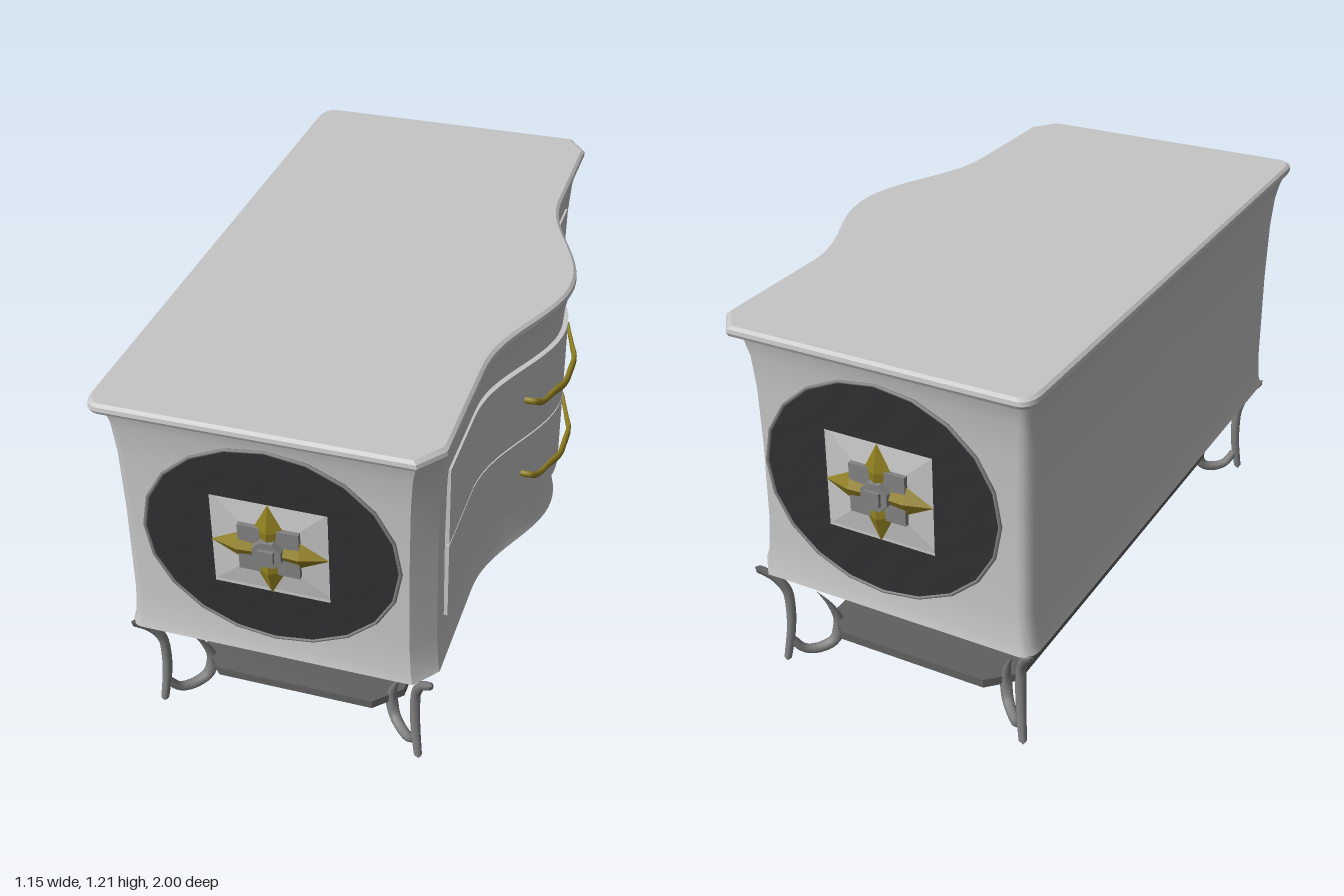
import * as THREE from 'three';
import { toCreasedNormals } from 'three/addons/utils/BufferGeometryUtils.js';

const mat = (name, color) => {
  const m = new THREE.MeshStandardMaterial({ color });
  m.name = name;
  return m;
};

const CX = -0.08; // centre line of the case, ignoring the bowed front

// Bowed drawer side: extra x at a given z
const bow = (z) => {
  const t = Math.min(1, Math.abs(z) / 0.53);
  return 0.145 * Math.pow(0.5 * (1 + Math.cos(Math.PI * t)), 1.1);
};

// Plan outline of the top, as [x, z] pairs
function outline() {
  const p = [[0.355, -1], [0.415, -0.92], [0.415, -0.72]];
  for (let i = 0; i <= 32; i++) {
    const z = -0.53 + (1.06 * i) / 32;
    p.push([0.415 + bow(z), z]);
  }
  p.push([0.415, 0.72], [0.415, 0.92], [0.355, 1]);
  for (const s of [1, -1]) {
    for (let i = 0; i <= 4; i++) {
      const a = ((s > 0 ? i : 4 - i) / 4) * Math.PI / 2;
      p.push([-0.535 - 0.04 * Math.sin(a), s * (0.94 + 0.06 * Math.cos(a))]);
    }
  }
  return p;
}

// Stack the outline at several heights; rings are [y, x inset, z inset]
function loft(rings) {
  const plan = outline(), n = plan.length, pos = [], idx = [];
  for (const [y, dx, dz] of rings) {
    for (const [x, z] of plan) pos.push(x - Math.sign(x - CX) * dx, y, z * (1 - dz));
  }
  for (let r = 0; r < rings.length - 1; r++) {
    for (let i = 0; i < n; i++) {
      const a = r * n + i, b = r * n + ((i + 1) % n);
      idx.push(a, a + n, b + n, a, b + n, b);
    }
  }
  const low = pos.length / 3, high = low + 1, last = (rings.length - 1) * n;
  pos.push(CX, rings[0][0], 0, CX, rings[rings.length - 1][0], 0);
  for (let i = 0; i < n; i++) {
    const j = (i + 1) % n;
    idx.push(low, i, j, high, last + j, last + i);
  }
  const g = new THREE.BufferGeometry();
  g.setAttribute('position', new THREE.Float32BufferAttribute(pos, 3));
  g.setIndex(idx);
  return toCreasedNormals(g, 0.5);
}

// Tube with a changing radius, optionally stretched in y
function taperTube(points, radiusAt, segments = 28, sides = 8, stretchY = 1) {
  const curve = new THREE.CatmullRomCurve3(points.map((p) => new THREE.Vector3(...p)));
  const g = new THREE.TubeGeometry(curve, segments, 1, sides);
  const pos = g.attributes.position, v = new THREE.Vector3();
  for (let i = 0; i <= segments; i++) {
    const c = curve.getPointAt(i / segments);
    const r = i === 0 || i === segments ? 0.0005 : radiusAt(i / segments);
    for (let j = 0; j <= sides; j++) {
      const k = i * (sides + 1) + j;
      v.fromBufferAttribute(pos, k).sub(c).multiplyScalar(r);
      v.y *= stretchY;
      v.add(c);
      pos.setXYZ(k, v.x, v.y, v.z);
    }
  }
  return g;
}

// Flat plan shape raised to a height
function slab(points, y, height) {
  const shape = new THREE.Shape(points.map(([x, z]) => new THREE.Vector2(x, -z)));
  const g = new THREE.ExtrudeGeometry(shape, { depth: height, bevelEnabled: false });
  g.rotateX(-Math.PI / 2).translate(0, y, 0);
  return toCreasedNormals(g, 0.5);
}

export function createModel() {
  const paint = mat('pale paint', 0xc6c6c6);
  const metal = mat('leg grey', 0x828282);
  const shelfGrey = mat('shelf grey', 0x606060);
  const dark = mat('dark panel', 0x303032);
  const gold = mat('old gold', 0x8f7e20);
  const model = new THREE.Group();
  const add = (parent, name, geometry, material) => {
    const m = new THREE.Mesh(geometry, material);
    m.name = name;
    parent.add(m);
    return m;
  };

  // Case with flared top and bottom, and the rounded top board
  const profile = [[0.37, 0.022], [0.4, 0.029], [0.5, 0.035], [0.8, 0.037], [1.0, 0.034],
    [1.1, 0.027], [1.15, 0.017], [1.18, 0.007]];
  add(model, 'case', loft(profile.map(([y, d]) => [y, d, d + 0.035])), paint);
  add(model, 'topBoard', loft([[1.172, 0.014, 0.02], [1.18, 0.004, 0.005], [1.19, 0, 0],
    [1.202, 0.002, 0.002], [1.21, 0.011, 0.011]]), paint);

  // Two bowed drawers with gold pulls
  const face = [];
  for (let i = 0; i <= 40; i++) {
    const z = -0.785 + (1.57 * i) / 40;
    face.push([0.391 + bow(z) * 1.06, z]);
  }
  const drawerPlan = [...face, ...face.map(([x, z]) => [x - 0.04, z]).reverse()];
  for (const [name, y] of [['lower', 0.515], ['upper', 0.781]]) {
    add(model, name + 'Drawer', slab(drawerPlan, y, 0.26), paint);
    const h = y + (name === 'upper' ? 0.117 : 0.108);
    const half = [[0.465, h + 0.024, 0.235], [0.505, h + 0.024, 0.235], [0.522, h + 0.008, 0.205],
      [0.547, h + 0.004, 0.13], [0.565, h, 0.075]];
    const path = [...half, [0.567, h - 0.002, 0],
      ...half.map(([x, yy, z]) => [x, yy, -z]).reverse()];
    add(model, name + 'Handle',
      taperTube(path, (t) => 0.006 + 0.003 * Math.sin(Math.PI * t) ** 4, 48, 8, 2), gold);
  }

  // Oval ornament for one end, facing +z
  const ornament = new THREE.Group();
  const ring = new THREE.RingGeometry(0.5, 1, 96, 10);
  const rp = ring.attributes.position;
  for (let i = 0; i < rp.count; i++) {
    const x = rp.getX(i), y = rp.getY(i), r = Math.hypot(x, y), t = (r - 0.5) * 2;
    const c = x / r, s = y / r, k = 1 / Math.max(Math.abs(c), Math.abs(s));
    const px = THREE.MathUtils.lerp(0.172 * c * k, 0.373 * c, t);
    const py = THREE.MathUtils.lerp(0.155 * s * k, 0.326 * s, t);
    const ripple = Math.sin(px * 75 + 2 * Math.sin(py * 23)) * Math.sin(py * 40 + px * 31);
    rp.setXYZ(i, px, py, 0.943 + 0.0022 * ripple * Math.sin(Math.PI * t));
  }
  ring.computeVertexNormals();
  add(ornament, 'darkOval', ring, dark);
  const rim = new THREE.TorusGeometry(0.377, 0.006, 6, 20);
  rim.rotateZ(Math.PI / 2).scale(1, 0.88, 1).translate(0, 0, 0.942);
  add(ornament, 'ovalRim', rim, metal);

  // Square four-faced boss
  const boss = new THREE.CylinderGeometry(0.06, Math.SQRT1_2 * 2, 1, 4).toNonIndexed();
  boss.rotateY(Math.PI / 4).rotateX(Math.PI / 2).scale(0.175, 0.157, 0.022).translate(0, 0, 0.941);
  boss.computeVertexNormals();
  add(ornament, 'squareBoss', boss, paint);
  add(ornament, 'backPlate', new THREE.BoxGeometry(0.18, 0.155, 0.02).translate(0, 0, 0.946), metal);

  // Four ridged star points
  for (let i = 0; i < 4; i++) {
    const len = i % 2 ? 0.175 : 0.157;
    const pts = [[0.034, 0], [0.044, len - 0.085], [0, len]].map((p) => new THREE.Vector2(...p));
    const arm = new THREE.LatheGeometry(pts, 4).toNonIndexed();
    arm.scale(1, 1, 0.55).rotateZ((i * Math.PI) / 2).translate(0, 0, 0.946);
    arm.computeVertexNormals();
    add(ornament, 'starPoint', arm, gold);
  }
  const hub = new THREE.CylinderGeometry(0.046, 0.05, 0.034, 8).toNonIndexed();
  hub.rotateY(Math.PI / 8).rotateX(Math.PI / 2).translate(0, 0, 0.957);
  hub.computeVertexNormals();
  add(ornament, 'hub', hub, metal);
  add(ornament, 'hubStud', new THREE.BoxGeometry(0.046, 0.042, 0.03).translate(0, 0, 0.97), metal);
  ornament.name = 'endOrnament';
  ornament.position.set(CX, 0.778, 0);
  const farEnd = ornament.clone();
  farEnd.rotation.y = Math.PI;
  model.add(ornament, farEnd);

  // Curved legs, each with an upturned hook pointing inward
  const legPath = [[0.005, 0.373], [0.045, 0.325], [0.068, 0.27], [0.073, 0.2], [0.07, 0.12],
    [0.062, 0.05], [0.056, 0.005]];
  const hookPath = [[0.068, 0.09], [0.095, 0.042], [0.13, 0.033], [0.165, 0.055], [0.176, 0.12],
    [0.16, 0.185], [0.132, 0.245]];
  for (const sx of [-1, 1]) {
    for (const sz of [-1, 1]) {
      const place = ([s, y]) => [CX + sx * (0.473 - s), y, sz * (0.94 - s)];
      const leg = new THREE.Group();
      leg.name = 'leg';
      add(leg, 'legStem', taperTube(legPath.map(place), (t) => 0.012 + 0.004 * Math.sin(Math.PI * t)), metal);
      add(leg, 'legHook', taperTube(hookPath.map(place),
        (t) => (t < 0.55 ? 0.013 + 0.013 * t : 0.045 * (1 - t))), metal);
      model.add(leg);
    }
  }

  // Low shelf with clipped corners
  const shelf = [[0.25, 0.74], [0.17, 0.82], [-0.33, 0.82], [-0.41, 0.74]];
  const shelfPlan = [...shelf, ...shelf.map(([x, z]) => [x, -z]).reverse()];
  add(model, 'shelf', slab(shelfPlan, 0.105, 0.028), shelfGrey);

  return model;
}
